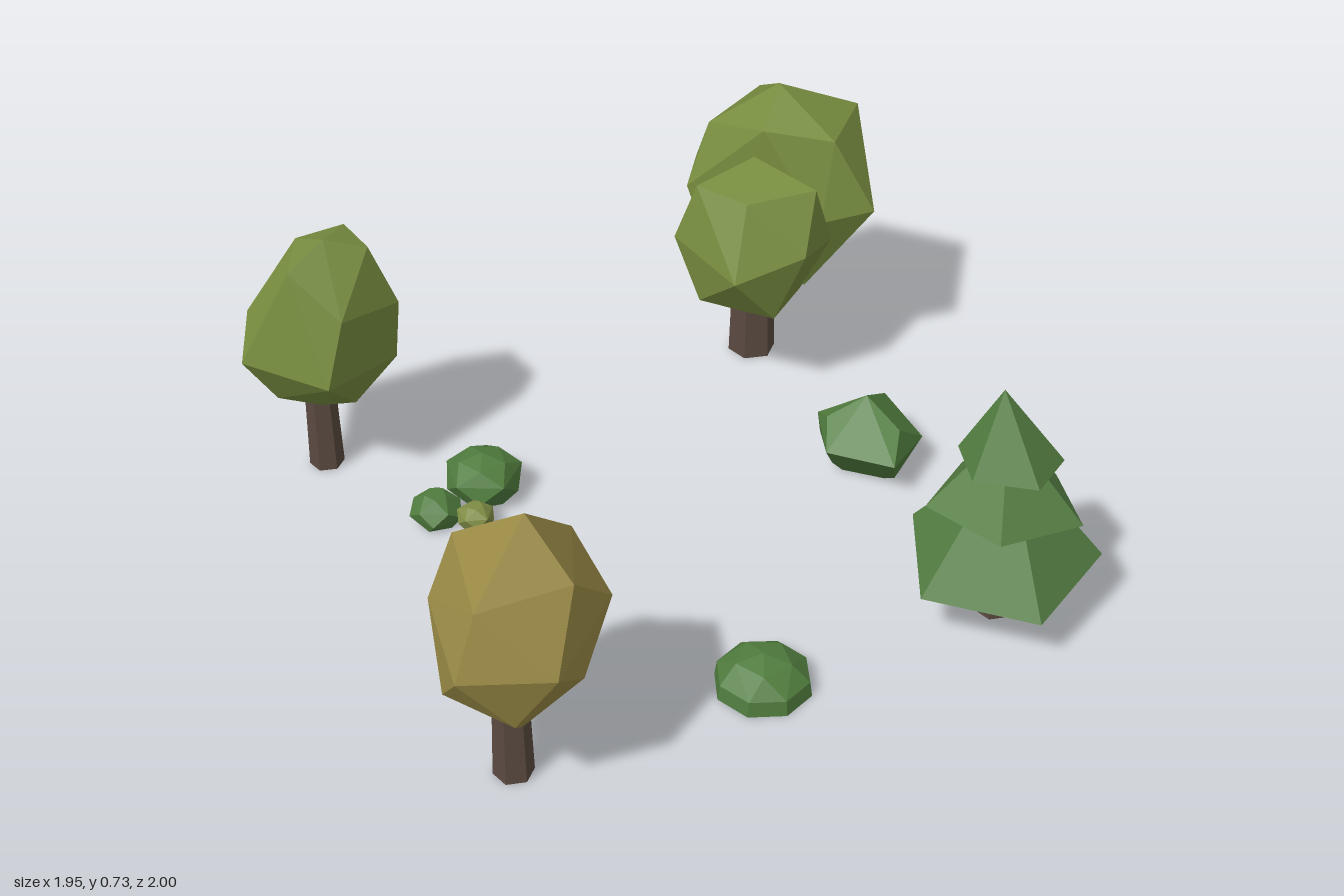
import * as THREE from 'three';
import { ConvexGeometry } from 'three/addons/geometries/ConvexGeometry.js';

const material = (name, color, side = THREE.FrontSide) =>
  new THREE.MeshStandardMaterial({ name, color, side, flatShading: true });

export function createModel() {
  const model = new THREE.Group();
  model.name = 'grove';
  const olive = material('olive leaves', 0x778c3f);
  const gold = material('golden leaves', 0x9c8c47);
  const green = material('bush green', 0x507c3e);
  const pine = material('pine green', 0x557f43, THREE.DoubleSide);
  const lime = material('yellow green leaves', 0x7f8c45);
  const bark = material('bark', 0x5a4a40);

  const group = (name) => {
    const g = new THREE.Group();
    g.name = name;
    model.add(g);
    return g;
  };
  const add = (parent, name, geometry, mat) => {
    const mesh = new THREE.Mesh(geometry, mat);
    mesh.name = name;
    parent.add(mesh);
    return mesh;
  };

  // Faceted leaf mass wrapped around a few corner points
  const hull = (parent, name, mat, points) =>
    add(parent, name, new ConvexGeometry(points.map((p) => new THREE.Vector3(...p))), mat);

  // Tapered six-sided trunk standing on the ground
  const trunk = (parent, x, z, radius, height) =>
    add(parent, 'trunk', new THREE.CylinderGeometry(radius * 0.82, radius, height, 6), bark)
      .position.set(x, height / 2, z);

  // Bush wrapped around stacked rings: [height, radius, sides, turn]
  const bush = (parent, name, mat, x, z, rings) => {
    const points = [];
    for (const [y, r, n, turn] of rings) {
      for (let i = 0; i < n; i++) {
        const a = turn + (i / n) * Math.PI * 2;
        points.push([x + r * Math.sin(a), y, z + r * Math.cos(a)]);
      }
    }
    return hull(parent, name, mat, points);
  };

  // Round tree on the right-hand side
  const roundTree = group('roundTree');
  trunk(roundTree, -0.81, 0, 0.04, 0.3);
  hull(roundTree, 'crown', olive, [
    [-0.75, 0.63, 0.03], [-0.67, 0.6, -0.02], [-0.76, 0.6, -0.09], [-0.85, 0.58, -0.03], [-0.8, 0.58, 0.11],
    [-0.62, 0.45, -0.05], [-0.68, 0.48, 0.11], [-0.92, 0.45, 0.09], [-0.83, 0.44, -0.14],
    [-0.63, 0.31, -0.04], [-0.7, 0.33, 0.16], [-0.92, 0.34, 0.14], [-0.98, 0.33, -0.03], [-0.83, 0.34, -0.155],
    [-0.7, 0.22, 0.04], [-0.75, 0.22, -0.08], [-0.87, 0.22, -0.06], [-0.88, 0.21, 0.07], [-0.78, 0.2, 0.05],
  ]);

  // Golden teardrop tree in front
  const goldenTree = group('goldenTree');
  trunk(goldenTree, -0.02, 0.8, 0.042, 0.27);
  hull(goldenTree, 'crown', gold, [
    [0.025, 0.655, 0.8],
    [-0.02, 0.52, 0.945], [0.13, 0.54, 0.83], [0.06, 0.53, 0.66], [-0.15, 0.52, 0.74],
    [-0.04, 0.39, 1], [0.13, 0.38, 0.92], [0.155, 0.42, 0.7], [-0.06, 0.4, 0.6], [-0.19, 0.38, 0.78],
    [0.04, 0.24, 0.92], [0.13, 0.28, 0.79], [0.03, 0.24, 0.68], [-0.13, 0.25, 0.74], [-0.12, 0.25, 0.89],
    [0.02, 0.165, 0.84], [0.02, 0.165, 0.76], [-0.07, 0.17, 0.8],
  ]);

  // Large tree with two crowns at the back
  const largeTree = group('largeTree');
  trunk(largeTree, -0.02, -0.78, 0.058, 0.4);
  hull(largeTree, 'mainCrown', olive, [
    [0.02, 0.725, -0.81],
    [0.18, 0.64, -0.93], [-0.07, 0.63, -0.96], [-0.14, 0.61, -0.78], [0.02, 0.66, -0.69], [0.18, 0.64, -0.73],
    [-0.04, 0.43, -1], [0.2, 0.45, -0.95], [0.28, 0.47, -0.74], [0.17, 0.45, -0.68], [-0.17, 0.47, -0.71], [-0.2, 0.46, -0.87],
    [0.12, 0.235, -0.74], [-0.08, 0.25, -0.69], [-0.11, 0.28, -0.88], [0.03, 0.26, -0.93], [0.18, 0.3, -0.87],
  ]);
  hull(largeTree, 'frontCrown', olive, [
    [0, 0.59, -0.69], [0.03, 0.55, -0.54], [0.17, 0.57, -0.62], [-0.1, 0.56, -0.57],
    [-0.15, 0.42, -0.56], [0.03, 0.38, -0.46], [0.17, 0.43, -0.55], [0.19, 0.4, -0.7], [-0.15, 0.4, -0.71],
    [-0.08, 0.27, -0.54], [0.1, 0.25, -0.55], [0, 0.235, -0.6], [0.12, 0.25, -0.7], [-0.1, 0.25, -0.7],
  ]);

  // Pine with three hollow five-sided tiers: [rim height, apex height, radius, turn, apex x, tilt]
  const pineTree = group('pineTree');
  trunk(pineTree, 0.765, 0.01, 0.038, 0.46);
  const tiers = [
    [0.14, 0.42, 0.215, Math.PI, 0.76, -0.1],
    [0.28, 0.47, 0.17, 0.15, 0.755, 0.1],
    [0.385, 0.56, 0.115, 0.75, 0.74, 0.08],
  ];
  tiers.forEach(([rim, apex, radius, turn, apexX, tilt], i) => {
    const geometry = new THREE.ConeGeometry(radius, apex - rim, 5, 1, true, turn);
    const pos = geometry.attributes.position;
    for (let v = 0; v < pos.count; v++) {
      const top = pos.getY(v) > 0;
      const z = pos.getZ(v);
      pos.setXYZ(v, top ? apexX : 0.765 + pos.getX(v), top ? apex : rim + z * tilt, z);
    }
    geometry.computeVertexNormals();
    add(pineTree, 'tier' + (i + 1), geometry, pine);
  });

  // Tall bush behind the pine
  hull(group('tallBush'), 'leaves', green, [
    [0.37, 0.2, -0.39],
    [0.385, 0.13, -0.51], [0.46, 0.15, -0.35], [0.29, 0.15, -0.35],
    [0.385, 0.065, -0.535], [0.495, 0.08, -0.44], [0.47, 0.1, -0.275], [0.31, 0.1, -0.28], [0.255, 0.12, -0.4],
    [0.26, 0.06, -0.41], [0.46, 0.03, -0.33], [0.31, 0.03, -0.34],
    [0.43, 0, -0.36], [0.33, 0, -0.36], [0.3, 0, -0.43], [0.38, 0, -0.48], [0.45, 0, -0.43],
  ]);

  // Low dome bush
  bush(group('lowBush'), 'leaves', green, 0.37, 0.4, [
    [0, 0.105, 8, 0], [0.035, 0.1, 8, 0], [0.072, 0.06, 5, 0.3], [0.085, 0, 1, 0],
  ]);

  // Cluster of three little bushes
  const cluster = group('bushCluster');
  bush(cluster, 'largeBush', green, -0.415, 0, [
    [0, 0.055, 5, 0], [0.035, 0.085, 5, 0.3], [0.075, 0.09, 5, 0.93], [0.105, 0.055, 5, 0.3], [0.12, 0, 1, 0],
  ]);
  bush(cluster, 'mediumBush', green, -0.48, 0.12, [
    [0, 0.045, 5, 0], [0.025, 0.062, 5, 0.3], [0.05, 0.055, 5, 0.93], [0.075, 0.025, 5, 0.3],
  ]);
  bush(cluster, 'smallBush', lime, -0.385, 0.12, [
    [0, 0.025, 5, 0], [0.03, 0.042, 5, 0.5], [0.05, 0.042, 5, 1.1], [0.066, 0.018, 5, 0.5],
  ]);

  return model;
}
